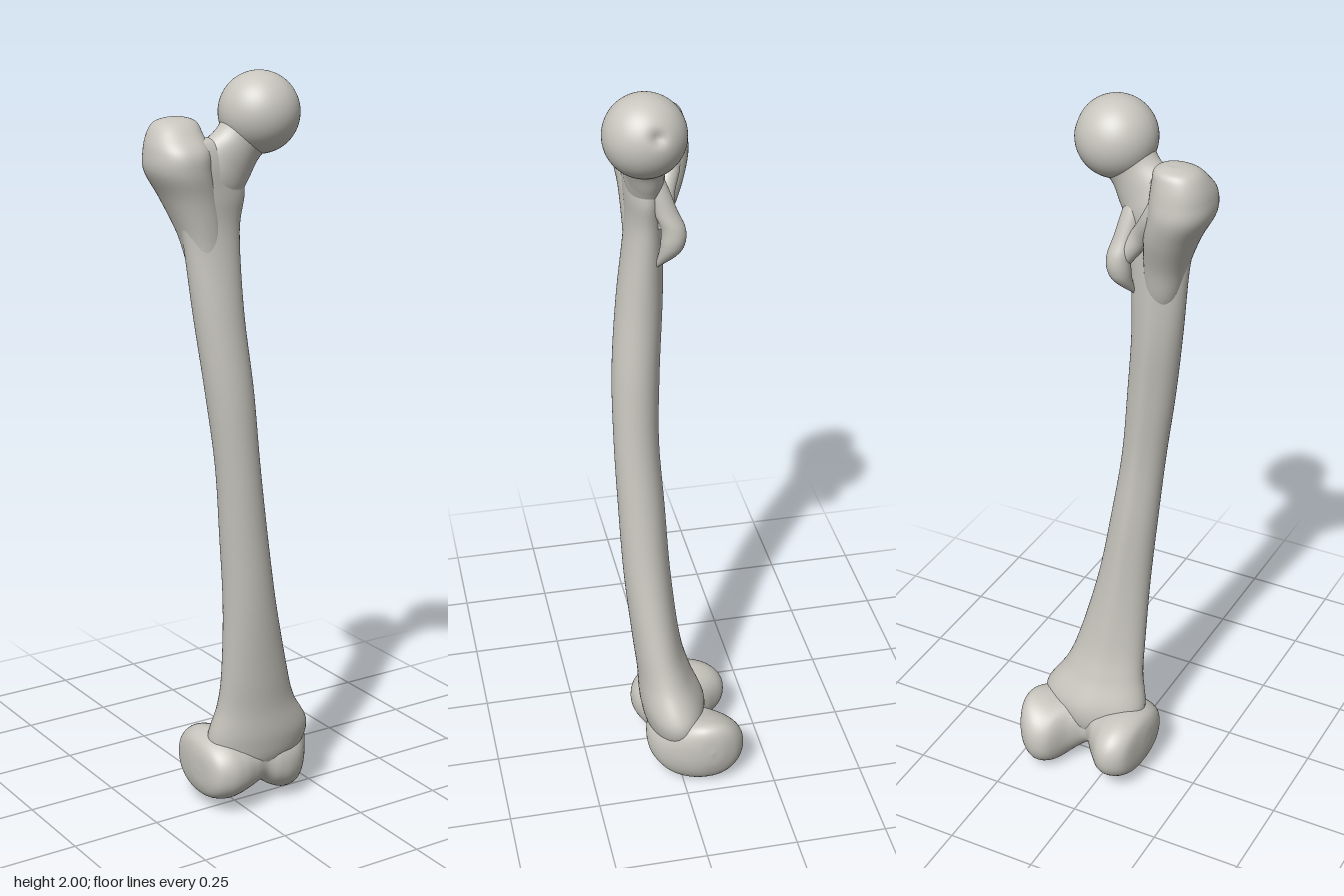
import * as THREE from 'three';

const bone = new THREE.MeshStandardMaterial({ color: 0xc8c6be });
bone.name = 'bone';

// Smooth closed loft. Rows are [t, aCentre, bCentre, aRadius, bRadius].
// axis 'y': t = y, a = z, b = x.  axis 'x': t = x, a = y, b = z.
// power < 1 makes the rings boxier; ridge sharpens the -a side of each ring.
function loft(rows, { axis = 'y', steps = 60, sides = 48, power = 1, ridge = 0 } = {}) {
  const curve = (pick) => new THREE.CatmullRomCurve3(
    rows.map((r) => new THREE.Vector3(...pick(r))), false, 'catmullrom', 0.5);
  const centres = curve((r) => [r[0], r[1], r[2]]);
  const radii = curve((r) => [r[3], r[4], 0]);
  const soft = (v) => Math.sign(v) * Math.abs(v) ** power;
  const positions = [], index = [];
  for (let i = 0; i <= steps; i++) {
    const c = centres.getPoint(i / steps), r = radii.getPoint(i / steps);
    for (let j = 0; j < sides; j++) {
      const angle = (j / sides) * Math.PI * 2;
      const back = 1 + ridge * Math.exp(-(((angle - Math.PI) / 0.35) ** 2));
      const a = c.y + Math.max(r.x, 0) * soft(Math.cos(angle)) * back;
      const b = c.z + Math.max(r.y, 0) * soft(Math.sin(angle));
      if (axis === 'y') positions.push(b, c.x, a);
      else positions.push(c.x, a, b);
      if (i < steps) {
        const k = (j + 1) % sides, p = i * sides, q = p + sides;
        index.push(p + j, p + k, q + j, p + k, q + k, q + j);
      }
    }
  }
  const geometry = new THREE.BufferGeometry();
  geometry.setAttribute('position', new THREE.Float32BufferAttribute(positions, 3));
  geometry.setIndex(index);
  geometry.computeVertexNormals();
  return geometry;
}

// Row from ring limits instead of centre and radius
const span = (t, a0, a1, b0, b1) => [t, (a0 + a1) / 2, (b0 + b1) / 2, (a1 - a0) / 2, (b1 - b0) / 2];

export function createModel() {
  const group = new THREE.Group();
  group.name = 'thighBone';
  const add = (name, geometry) => {
    const mesh = new THREE.Mesh(geometry, bone);
    mesh.name = name;
    group.add(mesh);
    return mesh;
  };

  // Bowed shaft, flaring towards the knee: y, z limits, x limits
  add('shaft', loft([
    span(0.09, 0, 0, 0.06, 0.06),
    span(0.12, -0.06, 0.07, -0.06, 0.18),
    span(0.2, -0.075, 0.095, -0.085, 0.222),
    span(0.3, -0.04, 0.1, -0.068, 0.165),
    span(0.4, -0.015, 0.11, -0.065, 0.13),
    span(0.6, 0.005, 0.127, -0.07, 0.08),
    span(0.8, 0.015, 0.135, -0.085, 0.045),
    span(1.0, 0.025, 0.14, -0.103, 0.016),
    span(1.2, 0.018, 0.138, -0.13, -0.002),
    span(1.4, 0.005, 0.12, -0.156, -0.02),
    span(1.6, 0, 0.094, -0.18, -0.02),
    span(1.7, 0, 0.095, -0.205, -0.005),
    span(1.78, 0, 0.095, -0.225, -0.02),
    span(1.83, 0.01, 0.08, -0.2, -0.07),
    span(1.845, 0.045, 0.045, -0.13, -0.13),
  ], { steps: 120, ridge: 0.1 }));

  // Knee end: two condyles with a groove between them: x, y limits, z limits
  add('condyles', loft([
    span(-0.117, 0.12, 0.12, -0.01, -0.01),
    span(-0.113, 0.075, 0.17, -0.06, 0.05),
    span(-0.097, 0.04, 0.2, -0.135, 0.085),
    span(-0.06, 0.026, 0.215, -0.165, 0.102),
    span(-0.02, 0.03, 0.21, -0.16, 0.1),
    span(0.02, 0.043, 0.2, -0.118, 0.088),
    span(0.06, 0.055, 0.2, -0.075, 0.078),
    span(0.1, 0.03, 0.2, -0.1, 0.088),
    span(0.14, 0.006, 0.2, -0.16, 0.085),
    span(0.185, 0.001, 0.21, -0.173, 0.062),
    span(0.225, 0.03, 0.212, -0.15, 0.015),
    span(0.247, 0.08, 0.19, -0.11, -0.03),
    span(0.254, 0.135, 0.135, -0.07, -0.07),
  ], { axis: 'x', steps: 96, power: 0.9 }));

  // Ball of the hip joint, with a small pit on its inner side
  const ball = new THREE.SphereGeometry(0.103, 64, 48);
  const pit = new THREE.Vector3(0.93, 0.3, -0.16).normalize();
  const p = ball.attributes.position, v = new THREE.Vector3();
  for (let i = 0; i < p.count; i++) {
    v.fromBufferAttribute(p, i);
    const off = v.angleTo(pit);
    v.multiplyScalar(1 - 0.13 * Math.exp(-((off / 0.17) ** 2)));
    p.setXYZ(i, v.x, v.y, v.z);
  }
  ball.computeVertexNormals();
  const headCentre = new THREE.Vector3(0.03, 1.897, 0.066);
  add('head', ball).position.copy(headCentre);

  // Neck, lofted along its own axis and tilted towards the ball
  const neckBase = new THREE.Vector3(-0.12, 1.7, 0.04);
  const neck = add('neck', loft([
    [-0.05, 0, 0, 0, 0],
    [-0.02, 0, 0, 0.035, 0.06],
    [0.04, 0, 0, 0.05, 0.086],
    [0.1, 0, 0, 0.05, 0.08],
    [0.15, 0, 0, 0.055, 0.068],
    [0.19, 0, 0, 0.066, 0.068],
    [0.22, 0, 0, 0.07, 0.07],
    [0.26, 0, 0, 0, 0],
  ]));
  neck.position.copy(neckBase);
  neck.quaternion.setFromUnitVectors(
    new THREE.Vector3(0, 1, 0), headCentre.clone().sub(neckBase).normalize());

  // Large outer knob beside the neck: y, z limits, x limits
  add('greaterTrochanter', loft([
    span(1.42, 0.06, 0.06, -0.1, -0.1),
    span(1.5, 0.005, 0.09, -0.15, -0.07),
    span(1.6, -0.025, 0.095, -0.178, -0.07),
    span(1.69, -0.062, 0.1, -0.215, -0.08),
    span(1.76, -0.083, 0.11, -0.252, -0.095),
    span(1.81, -0.08, 0.105, -0.254, -0.1),
    span(1.85, -0.072, 0.07, -0.242, -0.108),
    span(1.877, -0.06, 0.04, -0.222, -0.115),
    span(1.888, -0.035, 0.01, -0.19, -0.14),
    span(1.889, -0.015, -0.015, -0.165, -0.165),
  ], { power: 0.9 }));

  // Small inner knob at the back
  add('lesserTrochanter', loft([
    [1.5, 0.03, -0.045, 0, 0],
    [1.55, -0.002, -0.024, 0.024, 0.022],
    [1.585, -0.013, -0.017, 0.031, 0.03],
    [1.625, -0.013, -0.017, 0.031, 0.03],
    [1.67, 0.005, -0.025, 0.03, 0.028],
    [1.75, 0.03, -0.04, 0.025, 0.025],
    [1.8, 0.04, -0.05, 0, 0],
  ], { sides: 32 }));

  // Ridge joining the two knobs across the back
  add('trochantericCrest', new THREE.TubeGeometry(new THREE.CatmullRomCurve3([
    new THREE.Vector3(-0.15, 1.82, -0.03),
    new THREE.Vector3(-0.115, 1.75, -0.025),
    new THREE.Vector3(-0.07, 1.68, 0),
    new THREE.Vector3(-0.025, 1.62, -0.005),
  ]), 24, 0.027, 20));

  return group;
}
